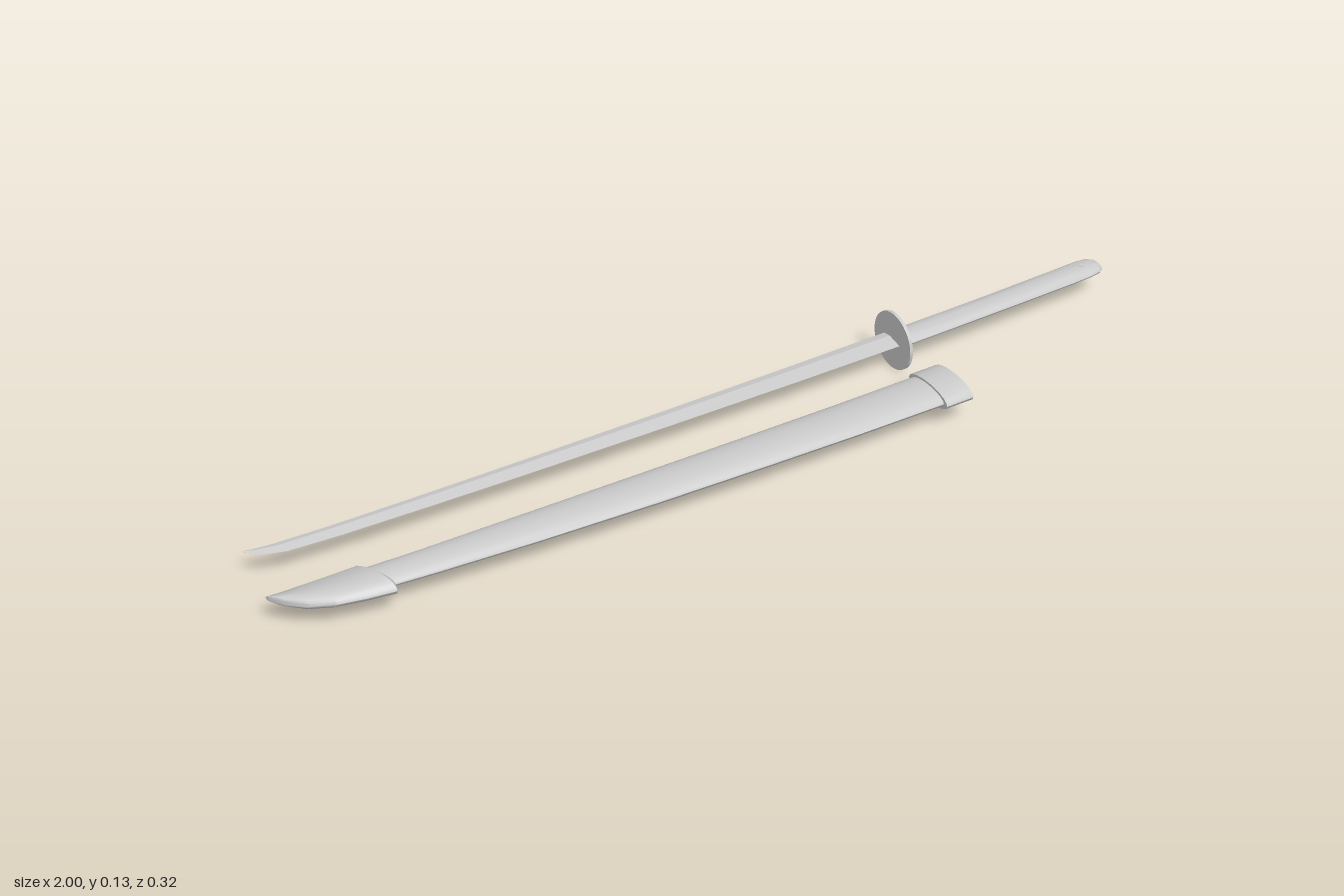
import * as THREE from 'three';
import { toCreasedNormals } from 'three/addons/utils/BufferGeometryUtils.js';

const MID_Y = 0.064;
const material = new THREE.MeshStandardMaterial({ color: 0xcccccc });
const doubleSided = new THREE.MeshStandardMaterial({ color: 0xcccccc, side: THREE.DoubleSide });

// Cross-sections as [across, up], each in -1..1, starting at the back (-z)
const round = (n, pinch = 0) => Array.from({ length: n }, (_, i) => {
  const a = (i / n) * Math.PI * 2;
  return [-Math.cos(a), Math.sin(a) * Math.pow(Math.sin(a / 2), pinch)];
});
const OVAL = round(20);
const TEARDROP = round(20, 0.8);
const BLADE = [[-1, 0.55], [-0.3, 1], [1, 0], [-0.3, -1], [-1, -0.55]];

// Skin over stations [backX, backZ, frontX, frontZ, halfHeight]
function loft(name, section, stations, mat = material, crease = 0.6) {
  const n = section.length, pos = [], index = [];
  for (const [ax, az, bx, bz, h] of stations) {
    for (const [u, v] of section) {
      const t = (u + 1) / 2;
      pos.push(ax + (bx - ax) * t, MID_Y + v * h, az + (bz - az) * t);
    }
  }
  for (let i = 0; i < stations.length - 1; i++) {
    for (let j = 0; j < n; j++) {
      const a = i * n + j, b = i * n + ((j + 1) % n);
      index.push(a, b, a + n, b, b + n, a + n);
    }
  }
  const g = new THREE.BufferGeometry();
  g.setAttribute('position', new THREE.Float32BufferAttribute(pos, 3));
  g.setIndex(index);
  const mesh = new THREE.Mesh(toCreasedNormals(g, crease), mat);
  mesh.name = name;
  return mesh;
}

// Station square to x
const at = (x, back, front, h) => [x, back, x, front, h];

function createSword() {
  const sword = new THREE.Group();
  sword.name = 'sword';

  // Curved single-edged blade, edge towards +z
  sword.add(loft('blade', BLADE, [
    [-0.98, -0.149, -0.979, -0.147, 0.0005],
    [-0.955, -0.143, -0.955, -0.122, 0.003],
    [-0.925, -0.138, -0.91, -0.106, 0.004],
    at(-0.8, -0.131, -0.097, 0.005),
    at(-0.6, -0.127, -0.089, 0.0055),
    at(-0.4, -0.125, -0.083, 0.006),
    at(-0.1, -0.124, -0.077, 0.006),
    at(0.2, -0.125, -0.073, 0.0065),
    at(0.45, -0.127, -0.072, 0.007),
  ], material, 0.1));

  // Round guard
  const guard = new THREE.Mesh(new THREE.CylinderGeometry(0.064, 0.064, 0.007, 40), material);
  guard.geometry = toCreasedNormals(guard.geometry, 0.6);
  guard.name = 'guard';
  guard.rotation.z = Math.PI / 2;
  guard.position.set(0.452, MID_Y, -0.098);
  sword.add(guard);

  // Oval grip with a rounded end
  sword.add(loft('grip', OVAL, [
    at(0.45, -0.1, -0.1, 0),
    at(0.45, -0.128, -0.067, 0.012),
    at(0.6, -0.13, -0.069, 0.012),
    at(0.75, -0.134, -0.072, 0.012),
    at(0.9, -0.139, -0.076, 0.012),
    at(0.96, -0.142, -0.079, 0.012),
    at(0.982, -0.139, -0.083, 0.011),
    at(0.994, -0.13, -0.091, 0.008),
    at(1, -0.112, -0.108, 0.001),
    at(1, -0.11, -0.11, 0),
  ]));

  // Pin through the grip end
  const pin = new THREE.Mesh(new THREE.CylinderGeometry(0.006, 0.006, 0.026, 12), material);
  pin.name = 'gripPin';
  pin.position.set(0.952, MID_Y, -0.11);
  sword.add(pin);
  return sword;
}

function createScabbard() {
  const scabbard = new THREE.Group();
  scabbard.name = 'scabbard';

  // Hollow curved body: outer skin, then collar, mouth rim and lining
  const body = [
    [-0.82, 0.02, -0.8, 0.09, 0.014],
    at(-0.7, 0.025, 0.1, 0.015),
    at(-0.5, 0.029, 0.116, 0.016),
    at(-0.25, 0.034, 0.131, 0.0165),
    at(0, 0.038, 0.141, 0.017),
    at(0.2, 0.04, 0.147, 0.017),
    at(0.41, 0.04, 0.15, 0.017),
  ];
  scabbard.add(loft('scabbardBody', OVAL, body, doubleSided));
  scabbard.add(loft('collar', OVAL, [
    at(0.4, 0.04, 0.15, 0.017),
    at(0.4, 0.03, 0.161, 0.0215),
    at(0.465, 0.03, 0.161, 0.0215),
    at(0.465, 0.041, 0.149, 0.0165),
    at(0.4, 0.041, 0.149, 0.0165),
  ]));
  const inset = 0.002;
  scabbard.add(loft('lining', OVAL, [
    ...body.map(([ax, az, bx, bz, h]) => [ax, az + inset, bx, bz - inset, h - inset]).reverse(),
    at(-0.815, 0.055, 0.055, 0),
  ]));

  // Swept end cap, pinched to a ridge along the back
  scabbard.add(loft('endCap', TEARDROP, [
    at(-1, 0.002, 0.002, 0),
    [-1, 0, -0.997, 0.008, 0.006],
    [-0.988, 0, -0.978, 0.036, 0.012],
    [-0.96, 0.001, -0.945, 0.067, 0.016],
    [-0.92, 0.002, -0.9, 0.089, 0.018],
    [-0.87, 0.003, -0.845, 0.102, 0.02],
    [-0.82, 0.003, -0.79, 0.111, 0.022],
    [-0.812, 0.018, -0.785, 0.095, 0.015],
    at(-0.81, 0.055, 0.055, 0),
  ]));
  return scabbard;
}

export function createModel() {
  const model = new THREE.Group();
  model.name = 'swordAndScabbard';
  model.add(createSword(), createScabbard());
  return model;
}
